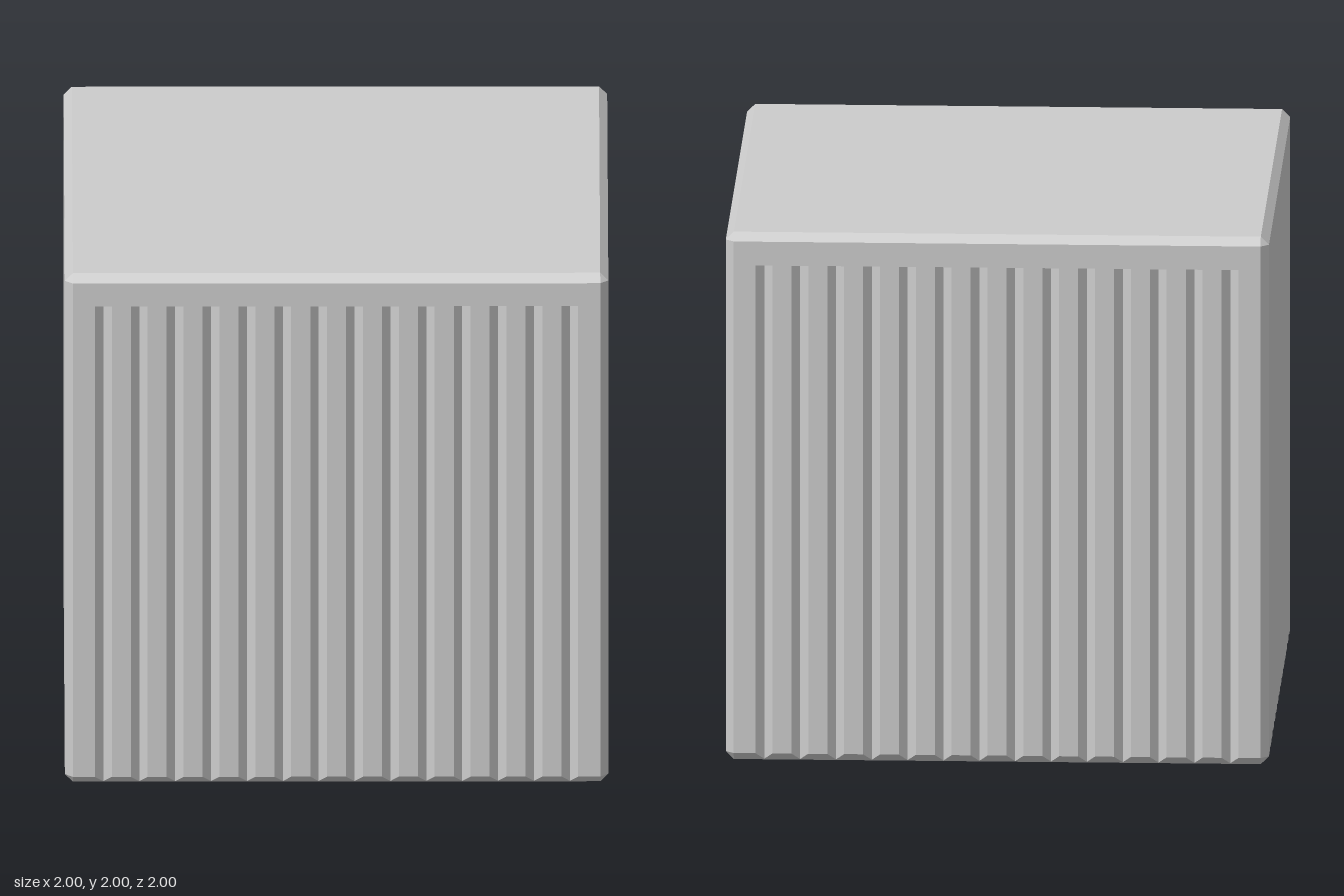
import * as THREE from 'three';

const CHAMFER = 0.03;
const GROOVES = 14, PITCH = 0.132, HALF_W = 0.031, DEPTH = 0.027, GROOVE_TOP = 1.88;
const EDGE = 1 - CHAMFER;

// Stations along one side: ends plus shoulder, valley, shoulder for every groove
const stations = [{ u: -EDGE, valley: 0 }];
for (let i = 0; i < GROOVES; i++) {
  const c = (i - (GROOVES - 1) / 2) * PITCH;
  stations.push({ u: c - HALF_W, valley: 0 }, { u: c, valley: 1 }, { u: c + HALF_W, valley: 0 });
}
stations.push({ u: EDGE, valley: 0 });

// Closed outline around all four sides; rule gives [height, inset] of a station
function ring(rule) {
  const points = [];
  for (let side = 0; side < 4; side++) {
    for (const s of stations) {
      const [y, inset] = rule(s.valley);
      points.push(new THREE.Vector3(s.u, y, 1 - inset)
        .applyAxisAngle(new THREE.Vector3(0, 1, 0), side * Math.PI / 2));
    }
  }
  return points;
}

// Flat-faced skin between successive rings
function skin(rings) {
  const pos = [];
  const tri = (a, b, c) => {
    if (new THREE.Triangle(a, b, c).getArea() > 1e-8) pos.push(...a, ...b, ...c);
  };
  for (let r = 0; r < rings.length - 1; r++) {
    const lo = rings[r], hi = rings[r + 1];
    for (let i = 0; i < lo.length; i++) {
      const j = (i + 1) % lo.length;
      tri(lo[i], lo[j], hi[j]);
      tri(lo[i], hi[j], hi[i]);
    }
  }
  const geo = new THREE.BufferGeometry();
  geo.setAttribute('position', new THREE.Float32BufferAttribute(pos, 3));
  geo.computeVertexNormals();
  return geo;
}

export function createModel() {
  const group = new THREE.Group();
  const grey = new THREE.MeshStandardMaterial({ color: 0xcccccc });
  const inner = new THREE.MeshStandardMaterial({ color: 0xcccccc, side: THREE.BackSide });
  const add = (name, geo, mat = grey) => {
    const mesh = new THREE.Mesh(geo, mat);
    mesh.name = name;
    group.add(mesh);
    return mesh;
  };

  // Grooved walls with chamfered edges; grooves run out through the bottom chamfer
  add('groovedWalls', skin([
    ring(() => [0, CHAMFER]),
    ring(v => [CHAMFER - v * DEPTH, v * DEPTH]),
    ring(v => [GROOVE_TOP, v * DEPTH]),
    ring(() => [GROOVE_TOP, 0]),
    ring(() => [2 - CHAMFER, 0]),
    ring(() => [2, CHAMFER]),
  ]));

  // Top face
  add('topFace', new THREE.PlaneGeometry(2 * EDGE, 2 * EDGE).rotateX(-Math.PI / 2)).position.y = 2;

  // Underside with two blind bores
  const bores = [
    { name: 'centreBore', x: 0, z: 0, r: 0.25, depth: 1 },
    { name: 'smallBore', x: 0.35, z: -0.35, r: 0.078, depth: 0.5 },
  ];
  const base = new THREE.Shape([[-1, -1], [1, -1], [1, 1], [-1, 1]]
    .map(([x, y]) => new THREE.Vector2(x * EDGE, y * EDGE)));
  for (const b of bores) {
    base.holes.push(new THREE.Path().absarc(b.x, b.z, b.r, 0, Math.PI * 2, true));
    add(b.name, new THREE.CylinderGeometry(b.r, b.r, b.depth, 48, 1, true), inner)
      .position.set(b.x, b.depth / 2, b.z);
    add(b.name + 'End', new THREE.CircleGeometry(b.r, 48).rotateX(Math.PI / 2))
      .position.set(b.x, b.depth, b.z);
  }
  add('underside', new THREE.ShapeGeometry(base, 24).rotateX(Math.PI / 2));

  return group;
}
